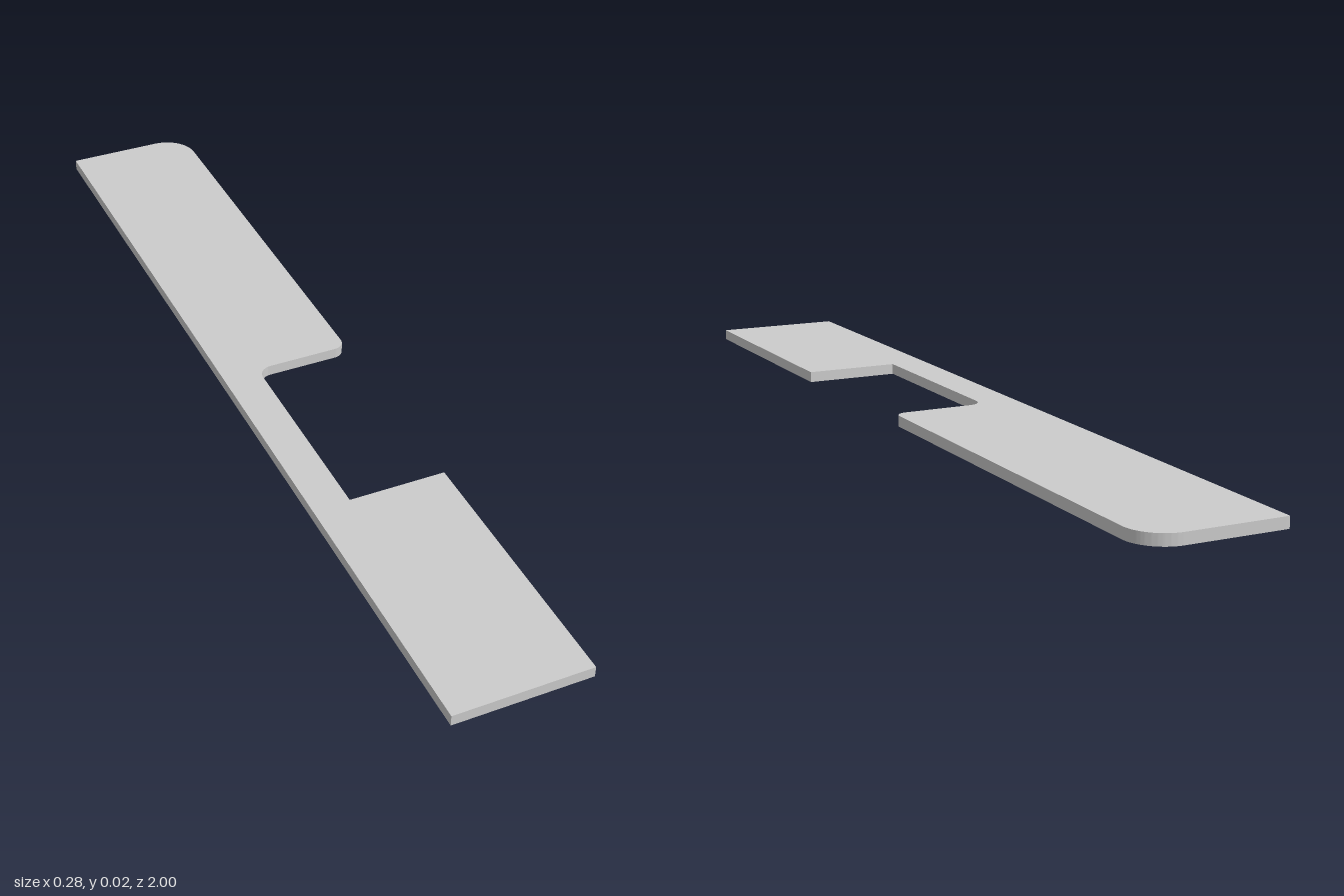
import * as THREE from 'three';
import { toCreasedNormals } from 'three/addons/utils/BufferGeometryUtils.js';

const HALF_WIDTH = 0.142;
const THICKNESS = 0.023;
const NOTCH_X = -0.063; // inner wall of the side notch
const NOTCH_FRONT = 0.427;
const NOTCH_BACK = -0.03;

export function createModel() {
  const group = new THREE.Group();
  group.name = 'notchedPlate';

  // Plan outline, drawn with shape y = -z
  const w = HALF_WIDTH, n = -NOTCH_BACK;
  const backR = 0.075, lipR = 0.025, filletR = 0.03;
  const outline = new THREE.Shape();
  outline.moveTo(-w, -1);
  outline.lineTo(w, -1);
  outline.lineTo(w, -NOTCH_FRONT);
  outline.lineTo(NOTCH_X, -NOTCH_FRONT);
  // inner fillet of the notch
  outline.lineTo(NOTCH_X, n - filletR);
  outline.absarc(NOTCH_X + filletR, n - filletR, filletR, Math.PI, Math.PI / 2, true);
  // rounded lip of the notch
  outline.lineTo(w - lipR, n);
  outline.absarc(w - lipR, n + lipR, lipR, -Math.PI / 2, 0, false);
  // rounded back corner
  outline.lineTo(w, 1 - backR);
  outline.absarc(w - backR, 1 - backR, backR, 0, Math.PI / 2, false);
  outline.lineTo(-w, 1);
  outline.closePath();

  // Extrude and lay flat on the ground
  const extruded = new THREE.ExtrudeGeometry(outline, {
    depth: THICKNESS, bevelEnabled: false, curveSegments: 16,
  });
  extruded.rotateX(-Math.PI / 2);

  const plate = new THREE.Mesh(
    toCreasedNormals(extruded, Math.PI / 6),
    new THREE.MeshStandardMaterial({ color: 0xcccccc }),
  );
  plate.name = 'plate';
  group.add(plate);
  return group;
}
